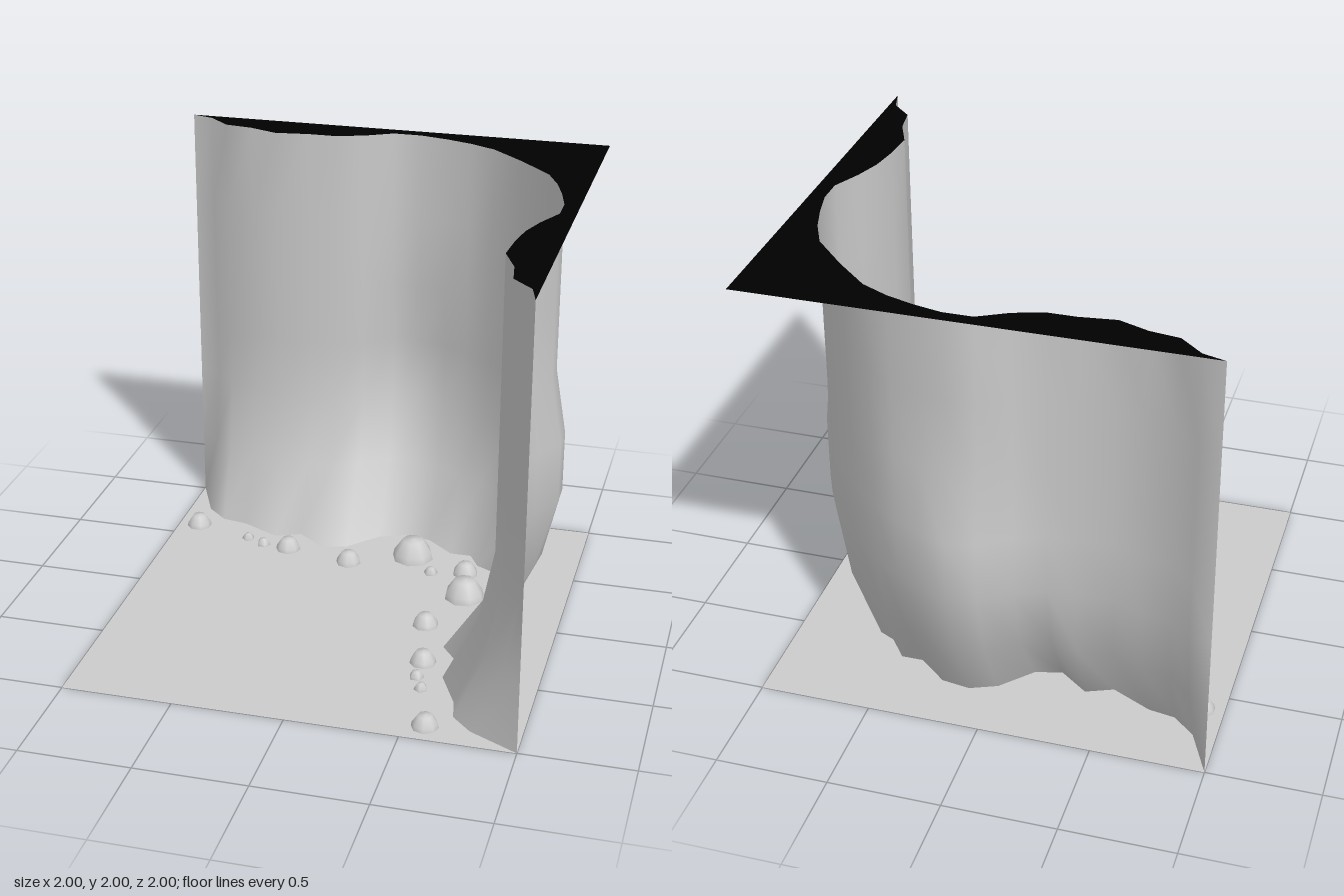
import * as THREE from 'three';

// Plan outlines of the wall, as x, z pairs from the back corner round to the front corner
const FOOT = [
  -1, -1, -0.9, -0.78, -0.8, -0.69, -0.68, -0.67, -0.5, -0.58, -0.38, -0.63, -0.25, -0.53,
  -0.13, -0.56, 0, -0.7, 0.12, -0.75, 0.25, -0.73, 0.38, -0.62, 0.48, -0.62, 0.53, -0.53,
  0.63, -0.48, 0.62, -0.38, 0.72, -0.26, 0.75, -0.12, 0.7, 0, 0.56, 0.13, 0.53, 0.25,
  0.63, 0.38, 0.58, 0.5, 0.67, 0.69, 0.69, 0.8, 0.78, 0.89, 1, 1,
];
const RIM = [
  -1, -1, -0.9, -0.97, -0.8, -0.88, -0.67, -0.86, -0.54, -0.81, -0.38, -0.83, -0.26, -0.83,
  -0.13, -0.87, 0, -0.94, 0.13, -0.94, 0.26, -0.91, 0.38, -0.87, 0.5, -0.81, 0.65, -0.67,
  0.8, -0.51, 0.86, -0.38, 0.9, -0.25, 0.93, -0.12, 0.93, 0, 0.87, 0.13, 0.83, 0.25,
  0.81, 0.38, 0.8, 0.53, 0.86, 0.67, 0.88, 0.8, 0.97, 0.89, 1, 1,
];
// Wall rows: height, blend towards the foot, outward bulge of the hollows
const ROWS = [
  [0, 1, 0], [0.33, 0.3, 0.03], [0.67, 0, 0.06], [0.95, 0, 0.06],
  [1.25, 0, 0], [1.6, 0, 0], [2, 0, 0],
];
// Loose stones: x, z, radius
const STONES = [
  [-0.9, -0.6, 0.06], [-0.62, -0.52, 0.03], [-0.53, -0.48, 0.034], [-0.4, -0.47, 0.06],
  [-0.08, -0.41, 0.06], [0.21, -0.54, 0.1], [0.33, -0.4, 0.034], [0.49, -0.44, 0.06],
  [0.53, -0.22, 0.095], [0.41, 0.08, 0.06], [0.47, 0.4, 0.06], [0.47, 0.53, 0.034],
  [0.51, 0.62, 0.032], [0.59, 0.9, 0.06],
];

const stoneMat = new THREE.MeshStandardMaterial({ color: 0xcccccc, side: THREE.DoubleSide });
const blackMat = new THREE.MeshStandardMaterial({ color: 0x000000, side: THREE.DoubleSide });

function add(group, name, geometry, material) {
  const mesh = new THREE.Mesh(geometry, material);
  mesh.name = name;
  group.add(mesh);
  return mesh;
}

// Skin the rows between the foot and rim outlines
function wallGeometry() {
  const n = RIM.length / 2;
  const positions = [], index = [];
  ROWS.forEach(([y, blend, bulge], row) => {
    for (let i = 0; i < n; i++) {
      let x = THREE.MathUtils.lerp(RIM[2 * i], FOOT[2 * i], blend);
      let z = THREE.MathUtils.lerp(RIM[2 * i + 1], FOOT[2 * i + 1], blend);
      z -= bulge * Math.max(0, 1 - Math.abs(i - 9) / 3);
      x += bulge * Math.max(0, 1 - Math.abs(i - 17.5) / 3);
      positions.push(Math.min(x, 1), y, Math.max(z, -1));
      if (row && i) {
        const d = row * n + i - 1, a = d - n;
        index.push(a, a + 1, d + 1, a, d + 1, d);
      }
    }
  });
  const g = new THREE.BufferGeometry();
  g.setAttribute('position', new THREE.Float32BufferAttribute(positions, 3));
  g.setIndex(index);
  g.computeVertexNormals();
  return g;
}

// Flat fill from the rim out to the square corner
function capGeometry() {
  const points = [];
  for (let i = 0; i < RIM.length; i += 2) points.push(new THREE.Vector2(RIM[i], -RIM[i + 1]));
  points.push(new THREE.Vector2(1, 1));
  return new THREE.ShapeGeometry(new THREE.Shape(points)).rotateX(-Math.PI / 2).translate(0, 2, 0);
}

// Blunt dome standing on the floor
function stoneGeometry(r) {
  const profile = [[1, 0], [0.93, 0.32], [0.52, 0.94], [0, 1]]
    .map(([x, y]) => new THREE.Vector2(x * r, y * r));
  return new THREE.LatheGeometry(profile, r < 0.05 ? 5 : 8);
}

export function createModel() {
  const model = new THREE.Group();
  model.name = 'caveCorner';

  add(model, 'floor', new THREE.PlaneGeometry(2, 2).rotateX(-Math.PI / 2), stoneMat);
  add(model, 'rockWall', wallGeometry(), stoneMat);
  add(model, 'wallTop', capGeometry(), blackMat);

  const stones = new THREE.Group();
  stones.name = 'looseStones';
  STONES.forEach(([x, z, r], i) => {
    const stone = add(stones, 'stone', stoneGeometry(r), stoneMat);
    stone.position.set(x, 0, z);
    stone.rotation.y = Math.PI / 8 + i * 0.7;
  });
  model.add(stones);
  return model;
}
